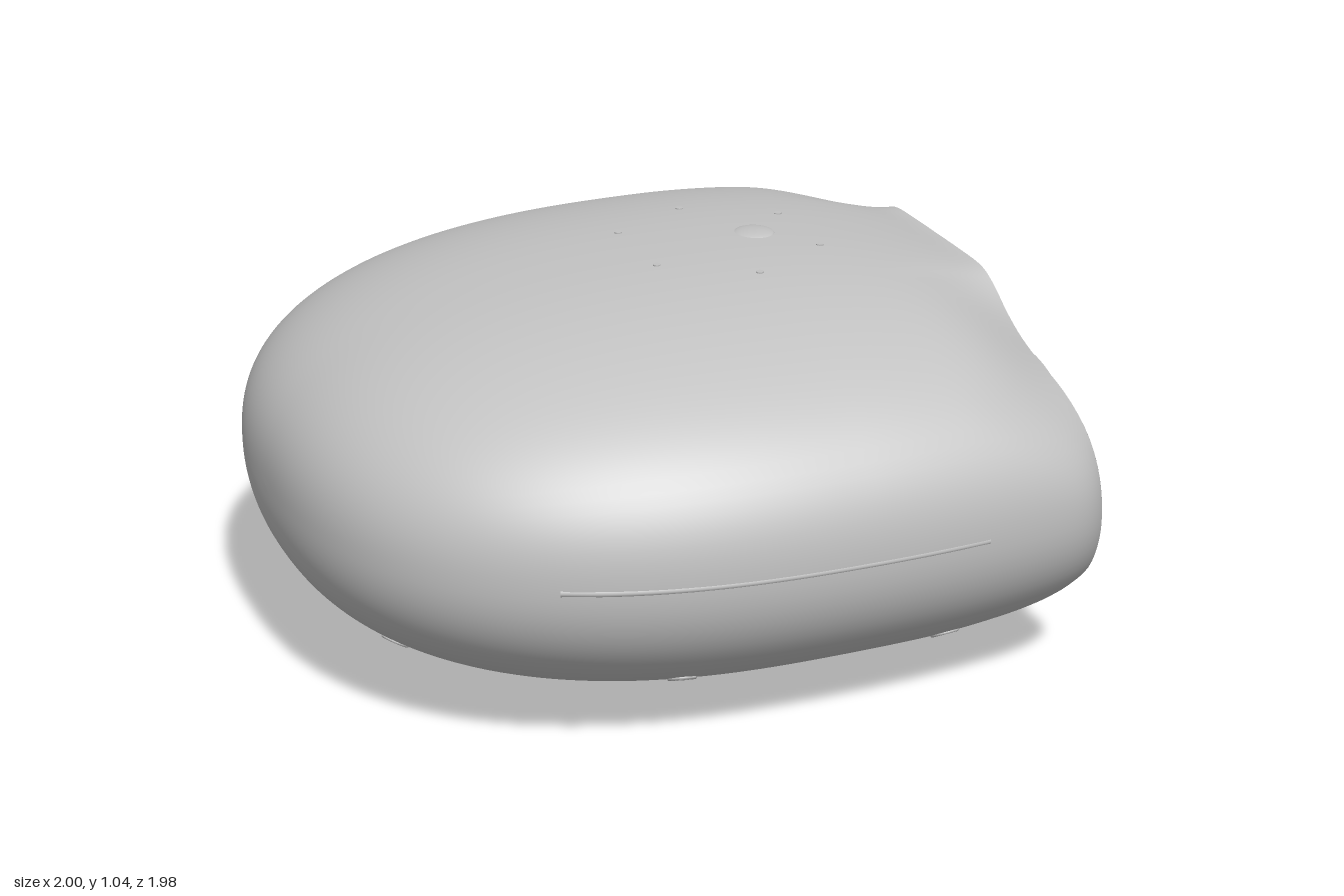
import * as THREE from 'three';

const MID = 0.53;      // height of the seam
const FRONT = 0.93;    // x of the face plane at seam height
const TILT = 0.088;    // backward lean of the face
const NECK = 0.48;     // neck opening radius
const UPPER = 2.3, LOWER = 2.2;   // fullness of the cross-section above and below the seam
const grey = new THREE.MeshStandardMaterial({ color: 0xc2c2c2, side: THREE.DoubleSide });
grey.name = 'shell grey';

const clamp = THREE.MathUtils.clamp, smooth = THREE.MathUtils.smoothstep;

// Half width, height above the seam and depth below it at station x
function section(x) {
  const f = x < 0.25 ? Math.pow(Math.max(0, 1 - Math.pow((0.25 - x) / 1.25, 2.5)), 0.4) : 1;
  const s = Math.max(0, (x - 0.25) / 0.68), b = Math.max(0, (x - 0.47) / 0.46);
  return { w: 0.99 * f - 0.065 * s * s, up: 0.505 * f - 0.08 * s * s, down: 0.53 * f - 0.06 * b * b };
}
function surfaceY(x, z, top) {
  const { w, up, down } = section(x), n = top ? UPPER : LOWER;
  const k = Math.pow(Math.max(0, 1 - Math.pow(Math.abs(z) / w, n)), 1 / n);
  return MID + (top ? up : -down) * k;
}

// Half outline of the flat face, bottom to top, relative to its centre
const faceHalf = new THREE.SplineCurve([[0, -0.43], [0.3, -0.41], [0.55, -0.36], [0.75, -0.27], [0.85, -0.13],
  [0.87, 0.02], [0.82, 0.14], [0.7, 0.22], [0.5, 0.28], [0.4, 0.33], [0.32, 0.39], [0.25, 0.42], [0.12, 0.425],
  [0, 0.425]].map(p => new THREE.Vector2(...p))).getPoints(120);
function faceRadius(a) {
  const angle = Math.atan2(Math.sin(a), Math.abs(Math.cos(a)));
  for (let i = 1; i < faceHalf.length; i++) {
    const p = faceHalf[i - 1], q = faceHalf[i], lo = Math.atan2(p.y, p.x), hi = Math.atan2(q.y, q.x);
    if (angle <= hi + 1e-6) return THREE.MathUtils.lerp(p.length(), q.length(), clamp((angle - lo) / (hi - lo), 0, 1));
  }
  return 0.425;
}

function add(parent, name, geometry, x = 0, y = 0, z = 0) {
  const mesh = new THREE.Mesh(geometry, grey);
  mesh.name = name;
  mesh.position.set(x, y, z);
  parent.add(mesh);
  return mesh;
}
function grid(rows, cols, point, keep = () => true) {
  const pos = [], idx = [];
  for (let i = 0; i <= rows; i++) for (let j = 0; j < cols; j++) pos.push(...point(i, j));
  for (let i = 0; i < rows; i++) for (let j = 0; j < cols; j++) {
    const n = (j + 1) % cols, a = i * cols + j, b = a + cols, c = i * cols + n, d = c + cols;
    for (const t of [[a, b, c], [b, d, c]]) if (keep(t)) idx.push(...t);
  }
  const g = new THREE.BufferGeometry();
  g.setAttribute('position', new THREE.Float32BufferAttribute(pos, 3));
  g.setIndex(idx);
  g.computeVertexNormals();
  return g;
}

// Body lofted from back to face, with the round neck opening left out
function shellGeometry() {
  const rows = 120, cols = 180, inside = [];
  const radii = Array.from({ length: cols }, (_, j) => faceRadius(j / cols * Math.PI * 2));
  return grid(rows, cols, (i, j) => {
    let x = -1 + (FRONT + 1) * (1 - Math.cos(Math.PI * i / rows)) / 2;
    const a = j / cols * Math.PI * 2, c = Math.cos(a), s = Math.sin(a);
    const { w, up, down } = section(x), h = s > 0 ? up : down, n = s > 0 ? UPPER : LOWER;
    let r = w < 1e-6 ? 0 : Math.pow(Math.pow(Math.abs(c) / w, n) + Math.pow(Math.abs(s) / h, n), -1 / n);
    // Hollows either side of the brow start early; the other edges round off late
    const t = clamp((x - 0.5) / (FRONT - 0.5), 0, 1);
    const hollow = smooth(s, 0, 0.35) * (1 - smooth(s, 0.8, 0.96));
    r = THREE.MathUtils.lerp(r, radii[j], Math.pow(t, 9 - 6 * hollow));
    let y = MID + r * s, z = r * c;
    x -= TILT * (y - MID) * smooth(x, 0.5, FRONT);
    const rho = Math.hypot(x, z), hit = s < 0 && y < 0.3 && rho < NECK;
    inside.push(hit);
    if (hit && rho > 1e-4) {
      x *= NECK / rho; z *= NECK / rho;
      y = surfaceY(x, z, false);
    }
    return [x, y, z];
  }, t => !t.every(v => inside[v]));
}

// Goggle frame outline: two round rims, a bridge and outer lobes
function goggleShape() {
  const half = new THREE.Path(), d = Math.PI / 180;
  half.moveTo(0, 0.06);
  half.quadraticCurveTo(0.07, 0.058, 0.12, 0.047);
  half.quadraticCurveTo(0.16, 0.045, 0.181, 0.081);
  half.absarc(0.43, -0.035, 0.275, 155 * d, 20 * d, true);
  half.quadraticCurveTo(0.705, 0.03, 0.73, 0.022);
  half.bezierCurveTo(0.785, 0.005, 0.785, -0.075, 0.73, -0.092);
  half.quadraticCurveTo(0.705, -0.1, 0.688, -0.129);
  half.absarc(0.43, -0.035, 0.275, -20 * d, -160 * d, true);
  half.quadraticCurveTo(0.158, -0.058, 0.12, -0.055);
  half.quadraticCurveTo(0.07, -0.045, 0, -0.043);
  const pts = half.getPoints(24);
  const other = pts.slice(1, -1).reverse().map(p => new THREE.Vector2(-p.x, p.y));
  const shape = new THREE.Shape([...pts, ...other]);
  for (const s of [-1, 1]) shape.holes.push(new THREE.Path().absarc(s * 0.43, -0.035, 0.23, 0, Math.PI * 2, true));
  return shape;
}

function buildFace(root) {
  const face = new THREE.Group();
  face.name = 'face';
  face.position.set(FRONT, MID, 0);
  face.rotation.set(-TILT, Math.PI / 2, 0, 'YXZ');
  root.add(face);
  const outline = k => new THREE.Shape([...faceHalf, ...faceHalf.slice(1, -1).reverse()
    .map(p => new THREE.Vector2(-p.x, p.y))].map(p => p.clone().multiplyScalar(k)));
  add(face, 'faceCap', new THREE.ShapeGeometry(outline(1)));
  add(face, 'facePlate', new THREE.ExtrudeGeometry(outline(0.96), { depth: 0.009, bevelEnabled: false }));
  add(face, 'goggleFrame', new THREE.ExtrudeGeometry(goggleShape(),
    { depth: 0.033, bevelThickness: 0.008, bevelSize: 0.012, bevelOffset: -0.012, bevelSegments: 2, curveSegments: 48 }));
  for (const s of [-1, 1]) {
    const ring = new THREE.Shape().absarc(0, 0, 0.24, 0, Math.PI * 2);
    ring.holes.push(new THREE.Path().absarc(0, 0, 0.205, 0, Math.PI * 2, true));
    add(face, 'lensRing', new THREE.ExtrudeGeometry(ring, { depth: 0.024, bevelEnabled: false, curveSegments: 48 }), s * 0.43, -0.035, 0);
    add(face, 'lens', new THREE.CircleGeometry(0.21, 64), s * 0.43, -0.035, 0.014);
  }
  // Sensor window in the brow
  const win = new THREE.Shape(), w = 0.315, r = 0.075;
  win.absarc(w - r, 0, r, -Math.PI / 2, Math.PI / 2);
  win.absarc(-w + r, 0, r, Math.PI / 2, Math.PI * 1.5);
  add(face, 'browWindow', new THREE.ExtrudeGeometry(win, { depth: 0.005, bevelEnabled: false }), 0, 0.322, 0.009);
}

function buildNeck(root) {
  // Rounded lip and wall, following the curved underside
  const profile = [[0, 0], [0.008, 0.004], [0.02, 0.016], [0.032, 0.04], [0.04, 0.08], [0.045, 0.14], [0.045, 0.22]];
  add(root, 'neckOpening', grid(profile.length - 1, 96, (i, j) => {
    const a = j / 96 * Math.PI * 2, c = Math.cos(a), s = Math.sin(a), r = NECK - profile[i][0];
    return [c * r, surfaceY(c * NECK, s * NECK, false) + profile[i][1], s * r];
  }));
  // Chassis plate and drilled mounting brackets inside the opening
  add(root, 'chassisPlate', new THREE.BoxGeometry(0.9, 0.02, 0.8), 0, 0.56, 0);
  const disc = new THREE.Shape().absarc(0, 0, 0.1, 0, Math.PI * 2);
  for (let i = 0; i < 4; i++) {
    const a = i * Math.PI / 2 + 0.78;
    disc.holes.push(new THREE.Path().absarc(0.06 * Math.cos(a), 0.06 * Math.sin(a), 0.02, 0, Math.PI * 2, true));
  }
  for (const s of [-1, 1]) {
    add(root, 'neckBracket', new THREE.ExtrudeGeometry(disc, { depth: 0.02, bevelEnabled: false }), -0.2, 0.4, s * 0.15 - 0.01);
    add(root, 'bracketPost', new THREE.BoxGeometry(0.08, 0.1, 0.02), -0.2, 0.51, s * 0.15);
  }
}

function buildDetails(root) {
  // Sensor ports round the lower body
  for (const [x, z] of [[0.57, 0.74], [-0.15, 0.72], [-0.77, 0.33]]) for (const s of [-1, 1]) {
    const e = 0.01, y = surfaceY(x, s * z, false);
    const normal = new THREE.Vector3((surfaceY(x + e, s * z, false) - surfaceY(x - e, s * z, false)) / (2 * e), -1,
      (surfaceY(x, s * z + e, false) - surfaceY(x, s * z - e, false)) / (2 * e)).normalize();
    const port = new THREE.Group();
    port.name = 'sensorPort';
    port.position.set(x, y, s * z);
    port.quaternion.setFromUnitVectors(new THREE.Vector3(0, 0, 1), normal);
    root.add(port);
    add(port, 'portRim', new THREE.TorusGeometry(0.033, 0.005, 8, 32));
    add(port, 'portLens', new THREE.CircleGeometry(0.031, 32), 0, 0, 0.002);
  }
  // Rear underside vent: slats within a rim
  for (let i = -10; i <= 10; i++) {
    const z = i * 0.026, slat = add(root, 'ventSlat', new THREE.BoxGeometry(0.1, 0.008, 0.011), -0.58, surfaceY(-0.58, z, false), z);
    slat.rotation.z = -0.4;
  }
  const rim = [];
  for (let i = 0; i < 48; i++) {
    const a = i / 48 * Math.PI * 2, c = Math.cos(a), s = Math.sin(a);
    const x = -0.58 + 0.06 * Math.sign(c) * Math.abs(c) ** 0.3, z = 0.285 * Math.sign(s) * Math.abs(s) ** 0.3;
    rim.push(new THREE.Vector3(x, surfaceY(x, z, false), z));
  }
  add(root, 'ventRim', new THREE.TubeGeometry(new THREE.CatmullRomCurve3(rim, true), 120, 0.004, 6, true));
  // Front underside sound slots
  for (let row = 0; row < 3; row++) for (let i = -2; i <= 2; i++) {
    const x = 0.54 + row * 0.045, z = (i + (row % 2 ? 0.25 : -0.25)) * 0.09;
    add(root, 'soundSlot', new THREE.BoxGeometry(0.014, 0.006, 0.06), x, surfaceY(x, z, false), z);
  }
  // Crown button and six screws
  const button = add(root, 'crownButton', new THREE.SphereGeometry(0.055, 32, 12, 0, Math.PI * 2, 0, Math.PI / 2), 0.35, 1.03, 0);
  button.scale.y = 0.2;
  for (let i = 0; i < 6; i++) {
    const a = (i + 0.5) * Math.PI / 3, x = 0.25 + 0.265 * Math.cos(a), z = 0.265 * Math.sin(a);
    add(root, 'crownScrew', new THREE.CylinderGeometry(0.01, 0.01, 0.006, 16), x, surfaceY(x, z, true), z);
  }
  // Side light strips along the seam
  for (const s of [-1, 1]) {
    const path = Array.from({ length: 13 }, (_, i) => {
      const x = -0.52 + i * 0.09;
      return new THREE.Vector3(x, 0.522, s * (section(x).w - 0.01));
    });
    add(root, 'sideStrip', new THREE.TubeGeometry(new THREE.CatmullRomCurve3(path), 48, 0.012, 8));
  }
}

export function createModel() {
  const root = new THREE.Group();
  root.name = 'robotHead';
  add(root, 'shell', shellGeometry());
  buildFace(root);
  buildNeck(root);
  buildDetails(root);
  return root;
}
